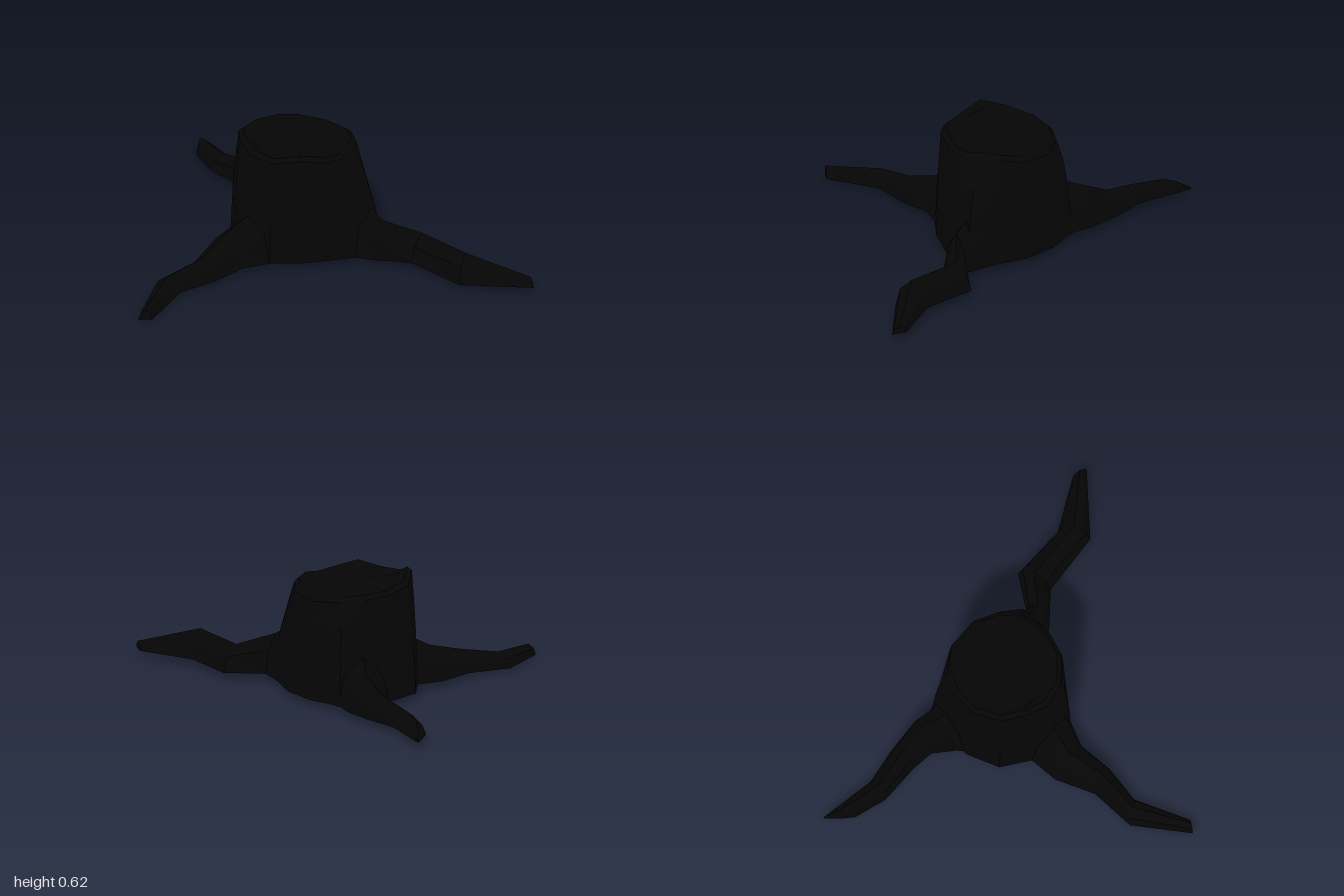
import * as THREE from 'three';

const bark = new THREE.MeshStandardMaterial({ color: 0x050505, flatShading: true });
bark.name = 'charredBark';

// Skin a list of equal-length rings of [x, y, z] points and cap both ends
function loft(name, rings) {
  const pos = [];
  const tri = (a, b, c) => pos.push(...a, ...b, ...c);
  const n = rings[0].length;
  const centre = (r) => [0, 1, 2].map((k) => r.reduce((s, p) => s + p[k], 0) / n);
  const first = rings[0], last = rings[rings.length - 1];
  const c0 = centre(first), c1 = centre(last);
  for (let i = 0; i < n; i++) {
    const j = (i + 1) % n;
    for (let r = 0; r + 1 < rings.length; r++) {
      const a = rings[r], b = rings[r + 1];
      tri(a[i], b[i], a[j]);
      tri(a[j], b[i], b[j]);
    }
    tri(c0, first[i], first[j]);
    tri(c1, last[j], last[i]);
  }
  const g = new THREE.BufferGeometry();
  g.setAttribute('position', new THREE.Float32BufferAttribute(pos, 3));
  g.computeVertexNormals();
  const mesh = new THREE.Mesh(g, bark);
  mesh.name = name;
  return mesh;
}

// Trunk: irregular flared foot blending into a rounder, unevenly cut top
function makeTrunk() {
  // x, z at the ground, then height of the rim above that point
  const foot = [
    [0.42, 0.04, 0.54], [0.42, 0.2, 0.56], [0.41, 0.36, 0.565], [0.26, 0.37, 0.55],
    [0.14, 0.35, 0.56], [0, 0.32, 0.59], [-0.14, 0.26, 0.565], [-0.21, 0.12, 0.575],
    [-0.21, 0, 0.615], [-0.16, -0.15, 0.58], [-0.02, -0.25, 0.56], [0.12, -0.28, 0.55],
    [0.25, -0.28, 0.54], [0.36, -0.13, 0.53],
  ];
  const ring = (blend, scale, height) => foot.map(([x, z, top]) => {
    const a = Math.atan2(z - 0.04, x - 0.1);
    const cx = 0.1 + Math.cos(a) * 0.285 * scale;
    const cz = 0.04 + Math.sin(a) * 0.275 * scale;
    return [x + (cx - x) * blend, height(top), z + (cz - z) * blend];
  });
  return loft('trunk', [
    ring(0, 1, () => 0.03),
    ring(0.25, 1, () => 0.25),
    ring(0.55, 1, () => 0.41),
    ring(1, 1, (t) => t - 0.02),
    ring(1, 0.92, (t) => t),
    ring(1, 0.8, (t) => t * 0.5 + 0.275),
  ]);
}

// Root: stations hold right edge x, z, left edge x, z, ridge height, underside height
function makeRoot(name, stations) {
  return loft(name, stations.map(([rx, rz, lx, lz, h, y0]) => {
    const at = (t, k) => [rx + (lx - rx) * t, y0 + (h - y0) * k, rz + (lz - rz) * t];
    return [at(0, 0), at(0.14, 0.6), at(0.5, 1), at(0.86, 0.6), at(1, 0)];
  }));
}

export function createModel() {
  const stump = new THREE.Group();
  stump.name = 'treeStump';
  stump.add(
    makeTrunk(),
    makeRoot('backRoot', [
      [0.31, -0.18, -0.04, -0.2, 0.3, 0.03], [0.25, -0.3, 0.02, -0.28, 0.25, 0.03],
      [0.24, -0.39, 0.07, -0.39, 0.215, 0.03], [0.18, -0.55, 0.05, -0.5, 0.145, 0.03],
      [0.1, -0.71, -0.015, -0.7, 0.11, 0.03], [0.08, -0.86, -0.015, -0.87, 0.098, 0.03],
      [0.072, -0.93, 0.01, -0.92, 0.08, 0.03], [0.062, -1, 0.055, -0.995, 0.04, 0.03],
    ]),
    makeRoot('frontLeftRoot', [
      [0.14, 0.3, 0.4, 0.1, 0.32, 0.03], [0.26, 0.37, 0.42, 0.22, 0.28, 0.03],
      [0.33, 0.43, 0.44, 0.37, 0.22, 0.03], [0.48, 0.53, 0.63, 0.44, 0.155, 0.03],
      [0.6, 0.825, 0.71, 0.71, 0.165, 0.03], [0.91, 0.995, 0.912, 0.92, 0.07, 0.03],
    ]),
    makeRoot('rightRoot', [
      [-0.14, -0.08, -0.02, 0.3, 0.29, 0.03], [-0.21, 0, -0.14, 0.26, 0.25, 0.03],
      [-0.35, 0.045, -0.27, 0.24, 0.18, 0.024], [-0.51, 0.17, -0.44, 0.295, 0.125, 0.018],
      [-0.73, 0.23, -0.63, 0.315, 0.085, 0.01], [-0.918, 0.465, -0.855, 0.487, 0.055, 0],
    ]),
  );
  return stump;
}
